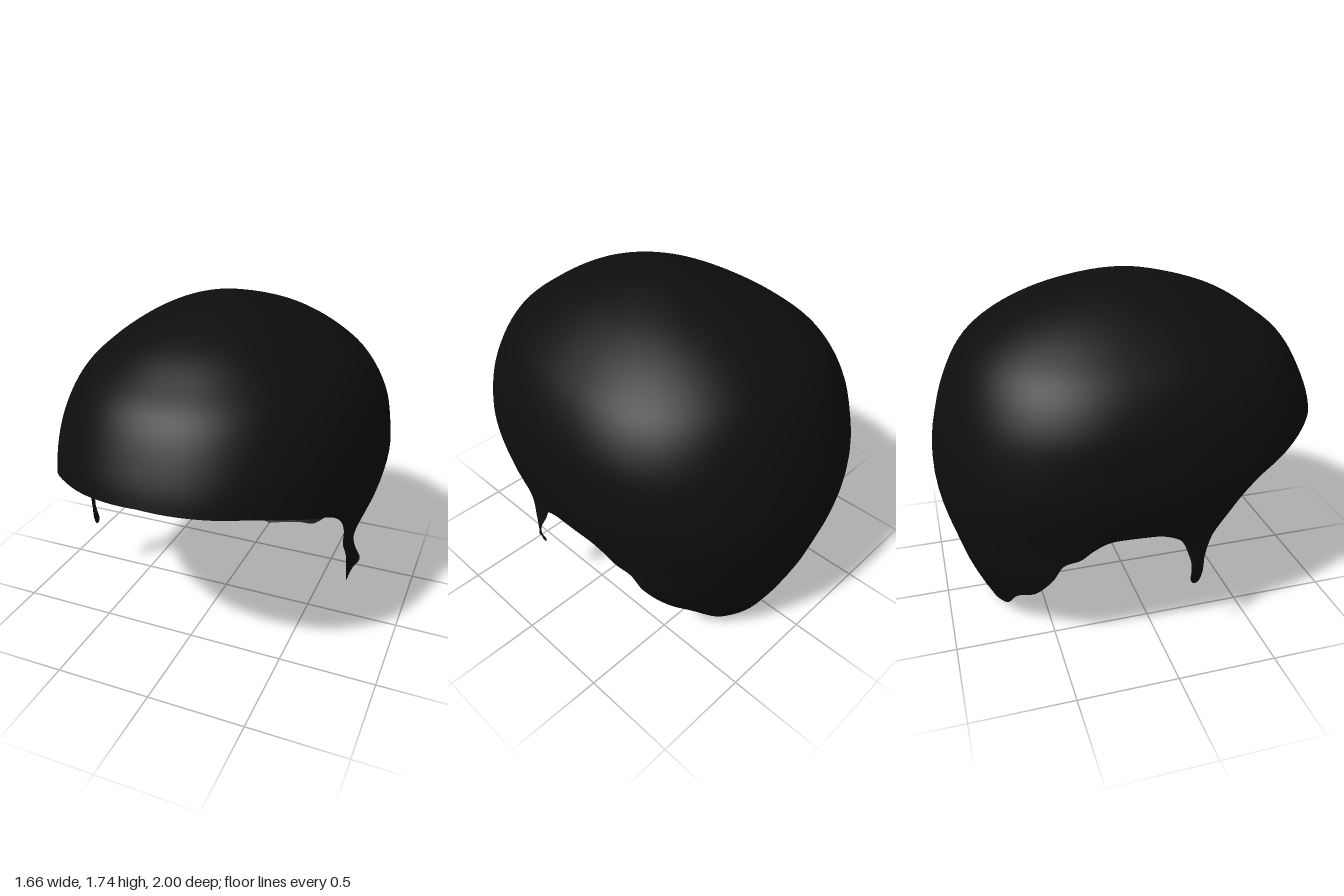
import * as THREE from 'three';

const TOP = 1.735, POWER = 2.2, COLS = 260, ROWS = 36;

// Cross-sections: height, half width, front z, back z, z of the widest point
const sections = [
  [1.735, 0, 0, 0, 0],
  [1.7, 0.2, 0.23, -0.24, -0.01],
  [1.6, 0.425, 0.53, -0.54, -0.04],
  [1.5, 0.57, 0.69, -0.71, -0.07],
  [1.4, 0.68, 0.815, -0.815, -0.1],
  [1.2, 0.79, 0.94, -0.92, -0.14],
  [1.04, 0.82, 1.0, -0.968, -0.15],
  [0.9, 0.83, 1.01, -0.995, -0.15],
  [0.75, 0.805, 1.0, -0.998, -0.15],
  [0.6, 0.765, 0.98, -0.975, -0.15],
  [0.44, 0.745, 0.96, -0.93, -0.15],
  [0.3, 0.68, 0.94, -0.89, -0.15],
  [0.1, 0.56, 0.9, -0.81, -0.15],
  [0, 0.5, 0.88, -0.76, -0.15],
];

// Hairline from the forehead, round the sideburn and ear, to the nape: z, y
const hairline = [
  [1, 1.04], [0.95, 1.025], [0.82, 1], [0.6, 0.925], [0.48, 0.88], [0.38, 0.8],
  [0.26, 0.62], [0.21, 0.5], [0.2, 0.4], [0.175, 0.345], [0.15, 0.345],
  [0.13, 0.42], [0.12, 0.52], [0.08, 0.61], [0, 0.66], [-0.05, 0.675],
  [-0.27, 0.68], [-0.35, 0.63], [-0.4, 0.58], [-0.48, 0.54], [-0.53, 0.44],
  [-0.6, 0.31], [-0.67, 0.25], [-0.71, 0.1], [-0.75, 0.06], [-0.76, 0],
];

// Square-root depth keeps the crown round
const depth = (y) => Math.sqrt(Math.max(0, TOP - y));
const profile = new THREE.CubicInterpolant(
  sections.map((r) => depth(r[0])), sections.flatMap((r) => r.slice(1)), 4, new Float32Array(4));

// Angle round the head (0 = front, PI = back) of a hairline point
function angleOf(z, y) {
  const [, front, back, mid] = profile.evaluate(depth(y));
  const u = z > mid ? (z - mid) / (front - mid) : (z - mid) / (mid - back);
  const c = Math.sign(u) * Math.pow(Math.min(1, Math.abs(u)), POWER / 2);
  return Math.acos(c);
}

function surfacePoint(angle, s) {
  const [w, front, back, mid] = profile.evaluate(s);
  const c = Math.cos(angle), y = TOP - s * s;
  const round = (v) => Math.pow(Math.abs(v), 2 / POWER);
  const z = mid + (c > 0 ? (front - mid) : (back - mid)) * round(c);
  let x = w * round(Math.sin(angle));
  // Sideburn hangs straight and flicks outward along its rear edge
  if (z > 0.02 && z < 0.3 && y < 0.6) {
    const rear = THREE.MathUtils.clamp((0.2 - z) / 0.08, 0, 1);
    x = Math.max(x, THREE.MathUtils.lerp(x, 0.745, Math.min(1, (0.6 - y) / 0.1)));
    x += 0.055 * rear * Math.exp(-(((y - 0.46) / 0.06) ** 2));
  }
  return [x, y, z];
}

function hairGeometry() {
  const last = hairline.length - 1;
  const rim = new THREE.CatmullRomCurve3(hairline.map(([z, y], i) =>
    new THREE.Vector3(i === 0 ? 0 : i === last ? Math.PI : angleOf(z, y), y, 0)));
  rim.arcLengthDivisions = 1200;
  const half = rim.getSpacedPoints(COLS);
  // One side front to back, then its mirror back to front
  const columns = [
    ...half.map((p) => [p, 1]),
    ...half.slice(1, -1).reverse().map((p) => [p, -1]),
  ];
  const n = columns.length, positions = [], index = [];
  for (let r = 0; r <= ROWS; r++) {
    for (const [p, side] of columns) {
      const angle = THREE.MathUtils.clamp(p.x, 0, Math.PI);
      const [x, y, z] = surfacePoint(angle, depth(Math.max(0, p.y)) * r / ROWS);
      positions.push(side * x, y, z);
    }
  }
  for (let r = 0; r < ROWS; r++) {
    for (let i = 0; i < n; i++) {
      const j = (i + 1) % n, a = r * n + i, b = a + n, c = r * n + j, d = c + n;
      index.push(a, b, d);
      if (r > 0) index.push(a, d, c);
    }
  }
  const geometry = new THREE.BufferGeometry();
  geometry.setAttribute('position', new THREE.Float32BufferAttribute(positions, 3));
  geometry.setIndex(index);
  geometry.computeVertexNormals();
  for (let i = 0; i < n; i++) geometry.attributes.normal.setXYZ(i, 0, 1, 0);
  return geometry;
}

export function createModel() {
  const black = new THREE.MeshStandardMaterial({ color: 0x0e0e0e, side: THREE.DoubleSide });
  black.name = 'hair black';
  const hair = new THREE.Mesh(hairGeometry(), black);
  hair.name = 'hairCap';
  const model = new THREE.Group();
  model.name = 'shortHair';
  model.add(hair);
  return model;
}
